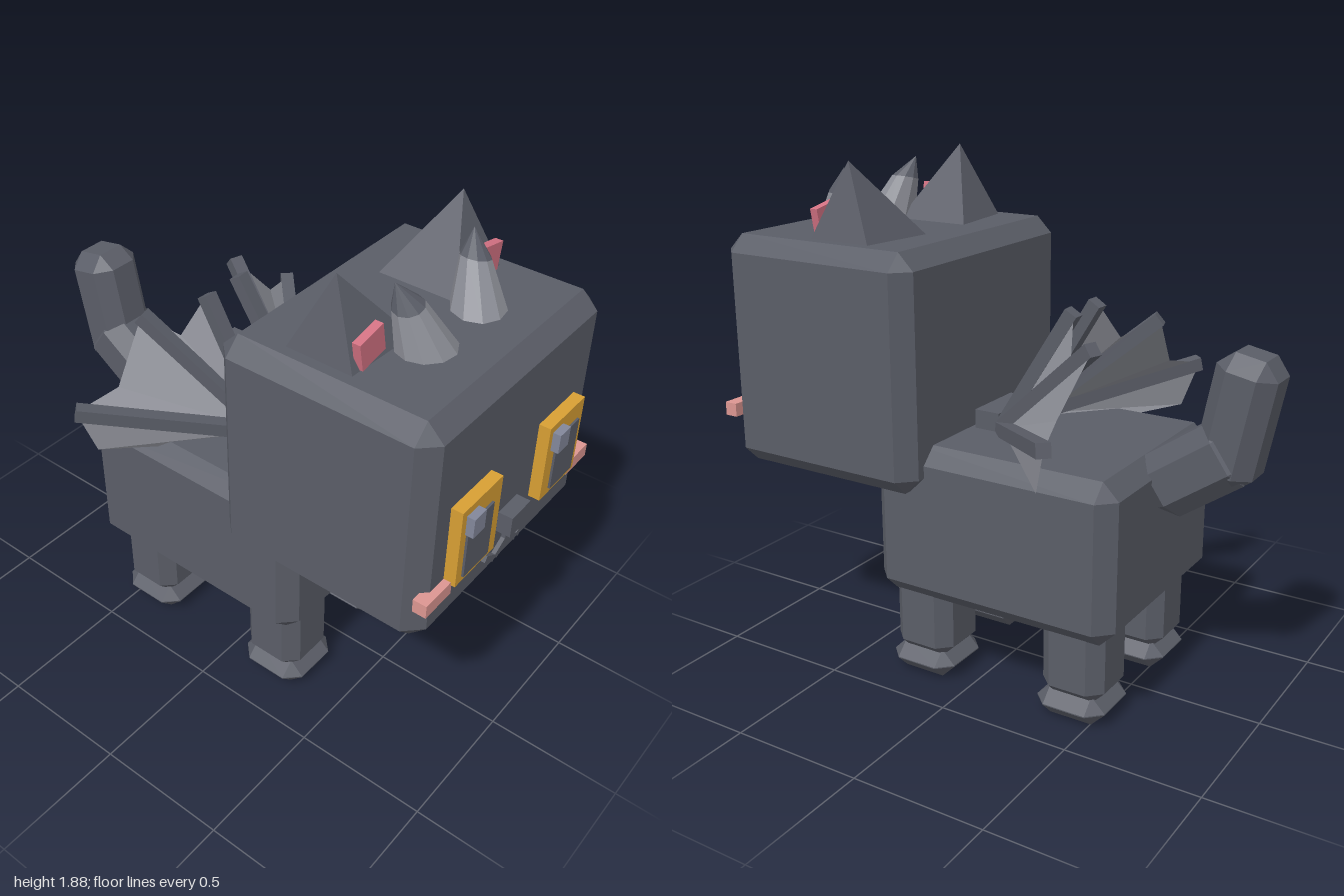
import * as THREE from 'three';
import { ConvexGeometry } from 'three/addons/geometries/ConvexGeometry.js';

const V = (x, y, z) => new THREE.Vector3(x, y, z);

export function createModel() {
  const model = new THREE.Group();
  const mat = (name, color) => Object.assign(new THREE.MeshStandardMaterial({ color }), { name });
  const fur = mat('charcoal fur', 0x5a5d67);
  const pale = mat('pale grey', 0x8b8d95);
  const shineGrey = mat('eye shine', 0x82879a);
  const gold = mat('gold iris', 0xd79f34);
  const rose = mat('rose inner ear', 0xd37283);
  const blush = mat('blush cheek', 0xdc9691);
  pale.side = THREE.DoubleSide;

  const add = (name, geometry, material) => {
    const mesh = new THREE.Mesh(geometry, material);
    mesh.name = name;
    model.add(mesh);
    return mesh;
  };
  const hull = (name, points, material) => add(name, new ConvexGeometry(points), material);

  // Box given by its low and high corners
  const box = (name, lo, hi, material) => {
    const mesh = add(name, new THREE.BoxGeometry(hi[0] - lo[0], hi[1] - lo[1], hi[2] - lo[2]), material);
    mesh.position.set((lo[0] + hi[0]) / 2, (lo[1] + hi[1]) / 2, (lo[2] + hi[2]) / 2);
    return mesh;
  };

  // Box with every edge cut at 45 degrees
  const chamferBox = (name, size, centre, c, material = fur) => {
    const [x, y, z] = size.map((n) => n / 2);
    const points = [];
    for (const i of [-1, 1]) for (const j of [-1, 1]) for (const k of [-1, 1]) {
      points.push(V(i * x, j * (y - c), k * (z - c)));
      points.push(V(i * (x - c), j * y, k * (z - c)));
      points.push(V(i * (x - c), j * (y - c), k * z));
    }
    const mesh = hull(name, points, material);
    mesh.position.set(...centre);
    return mesh;
  };

  // Head, body and neck block
  chamferBox('head', [1.01, 0.85, 0.81], [0, 1.19, 0.525], 0.06);
  chamferBox('body', [0.83, 0.59, 0.965], [0, 0.635, -0.125], 0.06);
  box('neckBlock', [-0.12, 0.9, 0], [0.12, 1.0, 0.1], fur);

  // Tail in two bent segments
  chamferBox('tailBase', [0.235, 0.24, 0.39], [0, 0.91, -0.73], 0.06).rotation.x = 0.61;
  chamferBox('tailTip', [0.215, 0.46, 0.215], [0, 1.1, -0.862], 0.055).rotation.x = -0.19;

  // Nose and mouth
  box('nose', [-0.057, 0.963, 0.92], [0.057, 1.043, 0.982], fur);
  box('mouthLine', [-0.012, 0.885, 0.92], [0.012, 0.965, 0.945], fur);

  for (const s of [-1, 1]) {
    const side = s > 0 ? 'left' : 'right';
    const sideBox = (name, x0, x1, y0, y1, z0, z1, material) =>
      box(side + name, [Math.min(s * x0, s * x1), y0, z0], [Math.max(s * x0, s * x1), y1, z1], material);

    // Legs and feet
    for (const [end, z] of [['Front', 0.205], ['Back', -0.425]]) {
      chamferBox(side + end + 'Leg', [0.245, 0.32, 0.245], [s * 0.235, 0.24, z], 0.05);
      chamferBox(side + end + 'Foot', [0.27, 0.11, 0.27], [s * 0.235, 0.055, z + 0.005], 0.053);
    }

    // Eyes: the shine sits on the same side of both
    sideBox('Iris', 0.145, 0.37, 0.977, 1.277, 0.92, 0.972, gold);
    sideBox('Pupil', 0.195, 0.338, 1.0, 1.21, 0.96, 0.98, fur);
    const sx = s > 0 ? 0.167 : -0.345;
    box(side + 'EyeShine', [sx, 1.177, 0.965], [sx + 0.065, 1.25, 1.0], shineGrey);

    // Cheeks and curled mouth strokes
    sideBox('Cheek', 0.365, 0.503, 0.938, 0.988, 0.907, 0.957, blush);
    for (const [x, tilt] of [[0.035, -0.55], [0.1, 0.55]]) {
      const stroke = add(side + 'MouthStroke', new THREE.BoxGeometry(0.065, 0.025, 0.03), fur);
      stroke.position.set(s * x, 0.878, 0.93);
      stroke.rotation.z = s * tilt;
    }

    // Ears leaning outward
    hull(side + 'Ear', [
      V(s * 0.115, 1.61, 0.3), V(s * 0.115, 1.61, 0.6),
      V(s * 0.412, 1.6, 0.33), V(s * 0.412, 1.6, 0.59), V(s * 0.335, 1.882, 0.463),
    ], fur);
    const inner = add(side + 'InnerEar', new THREE.BoxGeometry(0.115, 0.1, 0.03), rose);
    inner.position.set(s * 0.325, 1.678, 0.58);
    inner.rotation.z = -s * 0.19;

    // Horns: a tapering shaft and a pointed tip
    const ring = (x, y, z, r) => Array.from({ length: 10 }, (_, i) => {
      const a = (i / 10) * Math.PI * 2;
      return V(s * (x + r * Math.cos(a)), y - r * 0.25 * Math.cos(a), z + r * Math.sin(a));
    });
    const shoulder = ring(0.185, 1.76, 0.615, 0.052);
    hull(side + 'Horn', [...ring(0.147, 1.59, 0.672, 0.102), ...shoulder], pale);
    hull(side + 'HornTip', [...shoulder, V(s * 0.214, 1.84, 0.583)], fur);

    // Wing: three bones with a scalloped membrane between them
    const root = V(s * 0.1, 0.94, 0);
    const tips = [V(s * 0.085, 1.4, -0.28), V(s * 0.25, 1.33, -0.445), V(s * 0.585, 1.09, -0.46)];
    for (const tip of tips) {
      const bone = add(side + 'WingBone', new THREE.BoxGeometry(0.05, 0.05, root.distanceTo(tip)), fur);
      bone.position.copy(root).lerp(tip, 0.5);
      bone.lookAt(tip);
    }
    const rim = [
      tips[0], V(s * 0.18, 1.26, -0.325), tips[1], V(s * 0.42, 1.13, -0.41), tips[2],
      V(s * 0.545, 0.925, -0.41), V(s * 0.3, 0.895, -0.21),
    ];
    const fan = [];
    for (let i = 0; i < rim.length - 1; i++) fan.push(root, rim[i], rim[i + 1]);
    const membrane = new THREE.BufferGeometry().setFromPoints(fan);
    membrane.computeVertexNormals();
    add(side + 'WingMembrane', membrane, pale);
  }
  return model;
}
